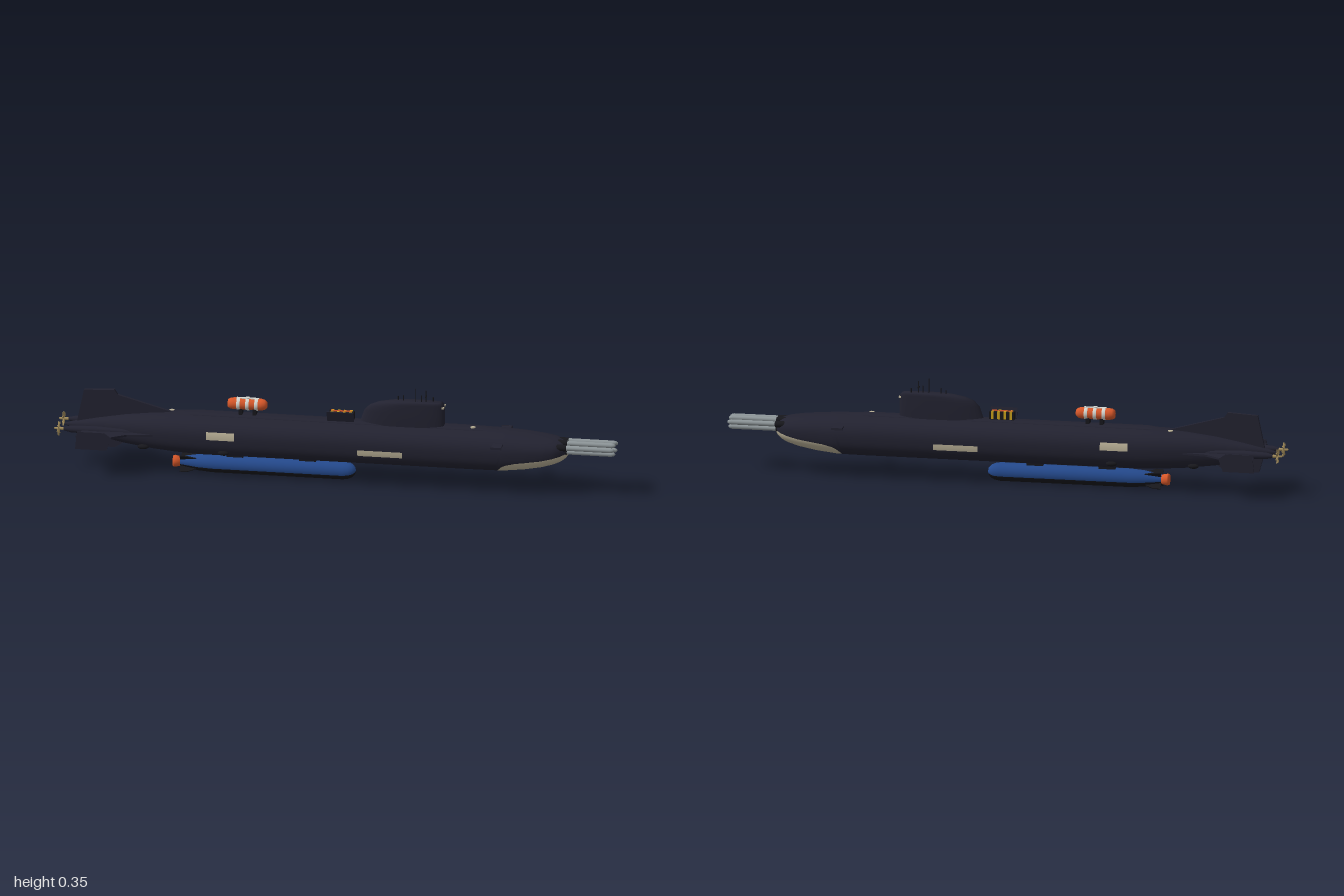
import * as THREE from 'three';
import { ParametricGeometry } from 'three/addons/geometries/ParametricGeometry.js';

const mat = (name, color, side = THREE.FrontSide) => {
  const m = new THREE.MeshStandardMaterial({ color, side });
  m.name = name;
  return m;
};
const M = {
  hull: mat('hull navy', 0x222230), black: mat('rubber black', 0x17171c),
  beige: mat('sonar beige', 0xb7ae95, THREE.DoubleSide), blue: mat('pod blue', 0x24498c),
  grey: mat('tube grey', 0x8d9598), orange: mat('rescue orange', 0xd8582a),
  white: mat('band white', 0xd6d6d0), gold: mat('bronze', 0xa08a5a), yellow: mat('machinery yellow', 0xc9a01c),
};

// Hull stations: x, half width, top, bottom
const HULL = [
  [-0.97, 0.003, 0.153, 0.147], [-0.92, 0.018, 0.167, 0.132], [-0.85, 0.034, 0.182, 0.115], [-0.75, 0.056, 0.2, 0.097],
  [-0.65, 0.074, 0.212, 0.085], [-0.57, 0.084, 0.218, 0.079], [-0.48, 0.09, 0.22, 0.075], [0.5, 0.09, 0.22, 0.075],
  [0.6, 0.089, 0.218, 0.076], [0.68, 0.084, 0.213, 0.085], [0.74, 0.077, 0.207, 0.096], [0.78, 0.067, 0.201, 0.107],
  [0.805, 0.052, 0.194, 0.117], [0.822, 0.034, 0.185, 0.129], [0.831, 0.016, 0.172, 0.142], [0.834, 0.002, 0.16, 0.155],
];
const sample = (table, x) => {
  let i = 1;
  while (i < table.length - 1 && table[i][0] < x) i++;
  const a = table[i - 1], b = table[i], t = (x - a[0]) / (b[0] - a[0]);
  return a.map((v, k) => v + (b[k] - v) * t);
};
// Section squareness: fuller below the waterline than above
const power = (s) => (s < 0 ? 0.77 : 0.86);
const sp = (v, p) => Math.sign(v) * Math.abs(v) ** p;
const hullPoint = (x, a, target, off = 0) => {
  const [, w, top, bot] = sample(HULL, x), s = Math.sin(a), p = power(s);
  return target.set(x, (top + bot) / 2 + ((top - bot) / 2 + off) * sp(s, p), (w + off) * sp(Math.cos(a), p));
};
// Angle on the section at which the skin reaches height y
const hullAngle = (x, y) => {
  const [, , top, bot] = sample(HULL, x);
  const s = THREE.MathUtils.clamp((2 * y - top - bot) / (top - bot), -0.999, 0.999);
  return Math.asin(sp(s, 1 / power(s)));
};
// Skin over the stations xs between two angles that may vary with x
const skin = (xs, a0, a1, point, stacks = 40) => new ParametricGeometry((u, v, t) => {
  const f = THREE.MathUtils.clamp(u, 0, 1) * (xs.length - 1), i = Math.min(Math.floor(f), xs.length - 2);
  const x = xs[i] + (xs[i + 1] - xs[i]) * (f - i);
  point(x, a0(x) + (a1(x) - a0(x)) * v, t);
}, xs.length - 1, stacks);

// Solid of revolution along x from [x, radius] points
const turned = (pts, seg = 20) =>
  new THREE.LatheGeometry(pts.map(([x, r]) => new THREE.Vector2(r, x)), seg).rotateZ(-Math.PI / 2);
// Flat plate in the x-y plane, centred on z
const plate = (pts, t) => {
  const s = new THREE.Shape(pts.map(([x, y]) => new THREE.Vector2(x, y)));
  return new THREE.ExtrudeGeometry(s, { depth: t, bevelEnabled: false }).translate(0, 0, -t / 2);
};

export function createModel() {
  const model = new THREE.Group();
  model.name = 'submarine';
  const add = (name, geo, m, x = 0, y = 0, z = 0, parent = model) => {
    const mesh = new THREE.Mesh(geo, m);
    mesh.name = name;
    mesh.position.set(x, y, z);
    parent.add(mesh);
    return mesh;
  };
  const box = (name, w, h, d, m, x, y, z) => add(name, new THREE.BoxGeometry(w, h, d), m, x, y, z);

  // Hull and bow with sonar window
  const split = 0.585;
  const aft = [...HULL.map((s) => s[0]).filter((x) => x < split), split];
  const bow = [split, 0.6, 0.615, 0.63, 0.65, ...HULL.map((s) => s[0]).filter((x) => x > 0.65)];
  const EDGE = [[split, 0.084], [0.6, 0.104], [0.615, 0.112], [0.65, 0.121], [0.75, 0.134], [0.834, 0.152]];
  const edge = (x) => hullAngle(x, sample(EDGE, x)[1]);
  add('hull', skin(aft, () => -Math.PI / 2, () => 1.5 * Math.PI, hullPoint, 64), M.hull);
  add('bowUpper', skin(bow, edge, (x) => Math.PI - edge(x), hullPoint), M.hull);
  add('sonarWindow', skin(bow, (x) => -Math.PI - edge(x), edge, hullPoint), M.beige);

  // Deck casing
  const casing = [-0.62, -0.58, -0.5, 0, 0.5, 0.6, 0.65];
  add('deckCasing', skin(casing, () => 0, () => Math.PI, (x, a, t) => {
    const e = Math.min(1, (x + 0.62) / 0.1, (0.65 - x) / 0.12);
    t.set(x, 0.211 + 0.014 * e * Math.abs(Math.sin(a)) ** 0.5, (0.004 + 0.026 * e) * Math.cos(a));
  }, 16), M.hull);

  // Pale side panels following the hull
  for (const [x0, x1, y0, y1] of [[-0.45, -0.35, 0.15, 0.177], [0.09, 0.25, 0.122, 0.143]]) {
    const lo = () => hullAngle(x0, y0), hi = () => hullAngle(x0, y1);
    const pt = (x, a, t) => hullPoint(x, a, t, 0.002);
    add('sidePanelLeft', skin([x0, x1], lo, hi, pt, 6), M.beige);
    add('sidePanelRight', skin([x0, x1], () => Math.PI - hi(), () => Math.PI - lo(), pt, 6), M.beige);
  }
  for (const [x, y, z] of [[-0.59, 0.213, -0.02], [0.49, 0.222, 0.012]])
    add('deckHatch', new THREE.CylinderGeometry(0.009, 0.009, 0.008, 16), M.beige, x, y, z);

  // Sail: teardrop plan stacked in layers; y, aft x, fore x, half width
  const SAIL = [[0.205, 0.08, 0.387, 0.031], [0.235, 0.09, 0.387, 0.031], [0.265, 0.1, 0.387, 0.03], [0.285, 0.12, 0.387, 0.029],
    [0.297, 0.15, 0.385, 0.028], [0.304, 0.19, 0.38, 0.025], [0.306, 0.21, 0.372, 0.02], [0.3062, 0.28, 0.29, 0.001]];
  add('sail', skin(SAIL.map((s) => s[0]), () => 0, () => 2 * Math.PI, (y, a, t) => {
    const [, xa, xf, w] = sample(SAIL, y), c = Math.cos(a);
    const k = (1 + sp(c, 0.8)) / 2;
    t.set(xa + (xf - xa) * k, y, w * sp(Math.sin(a), c > 0 ? 0.45 : 1.1));
  }, 48), M.hull);
  for (const s of [-1, 1]) box('sailWindow', 0.008, 0.005, 0.014, M.beige, 0.383, 0.291, s * 0.016);

  // Masts
  for (const [x, z, top, r] of [[0.285, 0.009, 0.355, 0.0015], [0.32, 0, 0.347, 0.002], [0.345, -0.008, 0.322, 0.003],
    [0.305, 0.004, 0.33, 0.002], [0.24, 0, 0.325, 0.002], [0.22, -0.006, 0.32, 0.002]])
    add('mast', new THREE.CylinderGeometry(r, r, top - 0.3, 10), M.black, x, (top + 0.3) / 2, z);
  box('mastCrossbar', 0.005, 0.004, 0.02, M.black, 0.32, 0.325, 0);

  // Bow tubes with dark collars
  for (const [z, y] of [[0.04, 0.176], [0.014, 0.185], [-0.014, 0.185], [-0.04, 0.176], [0.022, 0.156], [-0.022, 0.156]]) {
    add('bowTube', turned([[0.77, 0.0092], [0.985, 0.0092], [0.994, 0.007], [0.999, 0.0035], [1, 0]]), M.grey, 0, y, z);
    add('tubeCollar', turned([[0.79, 0.0092], [0.795, 0.0115], [0.825, 0.0115], [0.828, 0.0092]]), M.black, 0, y, z);
  }

  // Rudders
  add('upperRudder', plate([[-0.56, 0.21], [-0.78, 0.27], [-0.792, 0.288], [-0.9, 0.282], [-0.927, 0.155], [-0.6, 0.17]], 0.012), M.hull);
  add('lowerRudder', plate([[-0.927, 0.155], [-0.905, 0.077], [-0.79, 0.074], [-0.75, 0.1], [-0.7, 0.13]], 0.012), M.hull);

  for (const s of [-1, 1]) {
    // Stern plane with end plate
    const pl = add('sternPlane', plate([[-0.6, 0.05], [-0.64, 0.074], [-0.735, 0.088], [-0.784, 0.123], [-0.91, 0.123], [-0.89, 0.04], [-0.9, 0.01]], 0.007)
      .rotateX(Math.PI / 2), M.hull, 0, 0.148, 0);
    if (s < 0) pl.rotation.x = Math.PI;
    add('sternEndPlate', plate([[-0.912, 0.102], [-0.8, 0.102], [-0.784, 0.148], [-0.81, 0.166], [-0.905, 0.166]], 0.005), M.hull, 0, 0, s * 0.124);
    // Shaft and propeller
    add('shaftFairing', turned([[-0.965, 0.006], [-0.94, 0.012], [-0.85, 0.015], [-0.72, 0.008], [-0.68, 0]]), M.hull, 0, 0.15, s * 0.053);
    const prop = new THREE.Group();
    prop.name = 'propeller';
    prop.position.set(-0.982, 0.15, s * 0.053);
    model.add(prop);
    add('hub', turned([[-0.018, 0], [-0.014, 0.004], [0.02, 0.006], [0.02, 0]], 12), M.gold, 0, 0, 0, prop);
    for (let i = 0; i < 7; i++) {
      const blade = add('blade', new THREE.BoxGeometry(0.002, 0.021, 0.008).rotateY(0.7 * s).translate(0, 0.0145, 0), M.gold, 0, 0, 0, prop);
      blade.rotation.x = i * 2 * Math.PI / 7;
    }
    // Bow plane and side thrusters
    box('bowPlane', 0.036, 0.005, 0.055, M.hull, 0.59, 0.188, s * 0.093);
    box('bowPlaneTip', 0.04, 0.008, 0.006, M.hull, 0.59, 0.188, s * 0.12);
    for (const [x, z] of [[-0.39, 0.082], [-0.68, 0.06]])
      add('sideThruster', new THREE.SphereGeometry(0.01, 16, 12).scale(2, 0.9, 1), M.black, x, 0.101, s * z);
  }

  // Open deck hatch with machinery
  box('openHatchLid', 0.096, 0.038, 0.004, M.hull, 0.019, 0.242, 0.028).rotation.x = 0.3;
  box('hatchHousing', 0.09, 0.03, 0.026, M.black, 0.019, 0.237, 0);
  for (let i = 0; i < 4; i++) box('machineryFrame', 0.009, 0.028, 0.029, M.yellow, -0.014 + i * 0.022, 0.24, 0);
  box('machineryRail', 0.075, 0.006, 0.005, M.orange, 0.019, 0.253, 0);

  // Deck rescue craft on cradle
  add('rescueCraft', turned([[-0.387, 0], [-0.386, 0.014], [-0.378, 0.019], [-0.365, 0.021], [-0.268, 0.021], [-0.255, 0.018], [-0.247, 0.011], [-0.245, 0]]), M.orange, 0, 0.261, 0);
  for (const x of [-0.348, -0.316, -0.284])
    add('whiteBand', turned([[-0.006, 0.02], [-0.006, 0.0225], [0.006, 0.0225], [0.006, 0.02]]), M.white, x, 0.261, 0);
  box('craftDeckStrip', 0.08, 0.005, 0.012, M.white, -0.316, 0.281, 0);
  add('craftHatch', new THREE.CylinderGeometry(0.008, 0.008, 0.006, 14), M.white, -0.316, 0.283, 0);
  for (const x of [-0.34, -0.29]) box('cradle', 0.012, 0.025, 0.03, M.black, x, 0.233, 0);

  // Underslung pod, dark below and blue above
  const POD = [[-0.56, 0.016], [-0.53, 0.022], [-0.49, 0.029], [-0.44, 0.033], [0.025, 0.033], [0.045, 0.0295], [0.058, 0.023], [0.067, 0.013], [0.07, 0.001]];
  const podPoint = (x, a, t) => {
    const r = sample(POD, x)[1];
    t.set(x, 0.034 + r * Math.sin(a), r * Math.cos(a));
  };
  const px = POD.map((p) => p[0]), line = 0.35;
  add('podUpper', skin(px, () => -line, () => Math.PI + line, podPoint, 28), M.blue);
  add('podLower', skin(px, () => line - Math.PI, () => -line, podPoint, 20), M.black);
  add('podNozzle', turned([[-0.582, 0], [-0.582, 0.019], [-0.576, 0.021], [-0.555, 0.017], [-0.55, 0]]), M.orange, 0, 0.034, 0);
  for (let i = 0; i < 4; i++) {
    const fin = add('podFin', plate([[-0.555, 0.012], [-0.555, 0.041], [-0.53, 0.041], [-0.49, 0.025], [-0.49, 0.012]], 0.004), M.black, 0, 0.034, 0);
    fin.rotation.x = Math.PI / 4 + i * Math.PI / 2;
  }
  for (const x of [-0.36, -0.1]) box('podStrut', 0.06, 0.028, 0.028, M.black, x, 0.073, 0);
  return model;
}
